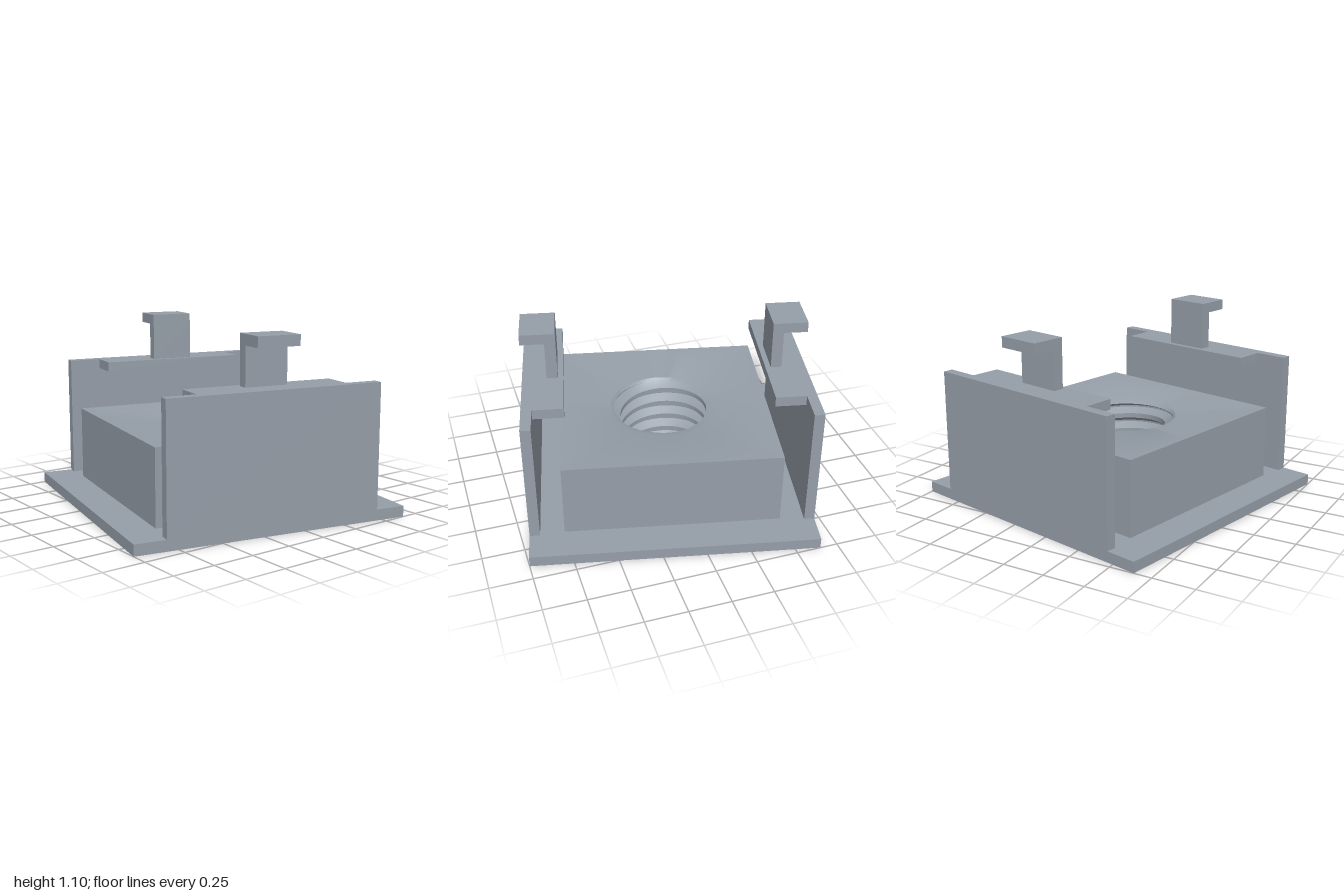
import * as THREE from 'three';
import { toCreasedNormals } from 'three/addons/utils/BufferGeometryUtils.js';

const HALF = 0.841;      // half side of the square base plate
const BASE = 0.065;      // base plate thickness
const BLOCK = 0.637;     // half side of the threaded block
const SEG = 96;

// Thread: radius at a height and angle along the helix
const PITCH = 0.1, Y0 = BASE, Y1 = 0.47, MINOR = 0.267, MAJOR = 0.318;
const PHASES = [0, 0.3, 0.6, 0.7];
function threadRadius(y, turn) {
  let p = (y - Y0) / PITCH - turn;
  p -= Math.floor(p + 1e-6);
  const depth = p < 0.3 ? 0 : p < 0.6 ? (p - 0.3) / 0.3 : p < 0.7 ? 1 : (1 - p) / 0.3;
  return MINOR + (MAJOR - MINOR) * depth;
}

// One column of the block's surface: up the side, over the top, down the thread
function blockColumn(turn) {
  const a = turn * Math.PI * 2;
  const square = BLOCK / Math.max(Math.abs(Math.cos(a)), Math.abs(Math.sin(a)));
  const column = [[square, BASE], [square, 0.515], [0.33, 0.488]];
  for (let k = 5; k >= -1; k--) {
    for (const p of [...PHASES].reverse()) {
      const y = THREE.MathUtils.clamp(Y0 + PITCH * (k + p + turn - 1), Y0, Y1);
      column.push([threadRadius(y, turn), y]);
    }
  }
  column.push([0.39, BASE]);
  return column.map(([r, y]) => [r * Math.cos(a), y, r * Math.sin(a)]);
}

function blockGeometry() {
  const positions = [], index = [];
  let rows = 0;
  for (let i = 0; i <= SEG; i++) {
    const column = blockColumn(i / SEG);
    rows = column.length;
    column.forEach(p => positions.push(...p));
  }
  for (let i = 0; i < SEG; i++) {
    for (let j = 0; j < rows - 1; j++) {
      const a = i * rows + j, c = a + rows;
      index.push(a, a + 1, c, a + 1, c + 1, c);
    }
  }
  const geometry = new THREE.BufferGeometry();
  geometry.setAttribute('position', new THREE.Float32BufferAttribute(positions, 3));
  geometry.setIndex(index);
  return toCreasedNormals(geometry, 0.5);
}

// Square plate with a round counterbore
function baseGeometry() {
  const shape = new THREE.Shape([[-1, -1], [1, -1], [1, 1], [-1, 1]]
    .map(([x, y]) => new THREE.Vector2(x * HALF, y * HALF)));
  shape.holes.push(new THREE.Path().absarc(0, 0, 0.376, 0, Math.PI * 2, true));
  const geometry = new THREE.ExtrudeGeometry(shape, { depth: BASE, bevelEnabled: false, curveSegments: 64 });
  geometry.rotateX(-Math.PI / 2);
  return toCreasedNormals(geometry, 0.5);
}

export function createModel() {
  const grey = new THREE.MeshStandardMaterial({ color: 0x959ea8 });
  grey.name = 'grey';
  const model = new THREE.Group();
  model.name = 'threadedMount';

  function add(parent, name, geometry) {
    const mesh = new THREE.Mesh(geometry, grey);
    mesh.name = name;
    parent.add(mesh);
  }
  // Box centred on x, given by half width and its y and z ranges
  function bar(parent, name, halfWidth, y0, y1, z0, z1) {
    const geometry = new THREE.BoxGeometry(halfWidth * 2, y1 - y0, z1 - z0);
    geometry.translate(0, (y0 + y1) / 2, (z0 + z1) / 2);
    add(parent, name, geometry);
  }

  add(model, 'basePlate', baseGeometry());
  add(model, 'threadedBlock', blockGeometry());

  // Two identical side walls, each with a ledge and a hooked clip
  ['front', 'back'].forEach((side, i) => {
    const wall = new THREE.Group();
    wall.name = side + 'Wall';
    bar(wall, side + 'Panel', 0.656, BASE, 0.81, 0.78, HALF);
    bar(wall, side + 'Ledge', 0.46, 0.75, 0.81, 0.6, 0.78);
    bar(wall, side + 'ClipStem', 0.13, 0.81, 1.04, 0.632, 0.697);
    bar(wall, side + 'ClipHook', 0.13, 1.04, 1.103, 0.632, 0.838);
    wall.rotation.y = i * Math.PI;
    model.add(wall);
  });

  // The whole mount is turned slightly about the vertical
  model.rotation.y = -0.2126;
  return model;
}
